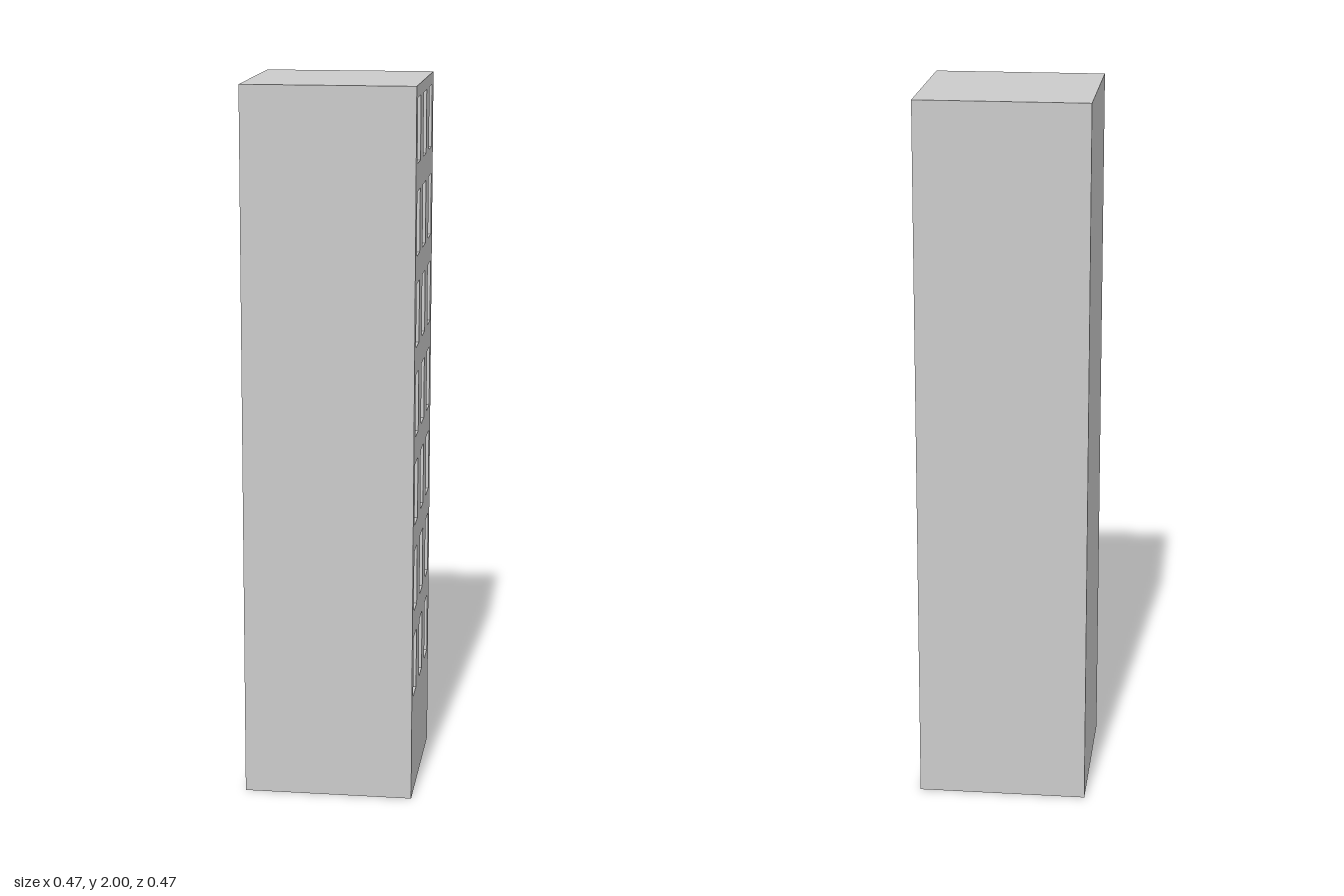
import * as THREE from 'three';

const H = 2, W = 0.474, HALF = W / 2;
const WIN_W = 0.08, WIN_H = 0.174, DEPTH = 0.03;
const COLUMNS = [-0.16, 0, 0.16];
const ROWS = Array.from({ length: 7 }, (_, i) => 0.38 + i * 0.25);

const wallMat = new THREE.MeshStandardMaterial({ color: 0xcccccc });
const paneMat = new THREE.MeshStandardMaterial({ color: 0x777777 });
const bluePaneMat = new THREE.MeshStandardMaterial({ color: 0x15237f });

function addMesh(parent, name, geometry, material, x, y, z) {
  const mesh = new THREE.Mesh(geometry, material);
  mesh.name = name;
  mesh.position.set(x, y, z);
  parent.add(mesh);
  return mesh;
}

// Box without its first `skip` faces (order +x, -x, +y, -y, +z, -z)
function openBox(w, h, d, skip, inward = false) {
  const geo = new THREE.BoxGeometry(w, h, d);
  const index = Array.from(geo.index.array).slice(skip * 6);
  geo.setIndex(inward ? index.reverse() : index);
  geo.clearGroups();
  geo.computeVertexNormals();
  return geo;
}

// Facade panel facing +x with a rectangular hole per window
function facadeGeometry() {
  const rect = (path, cx, y0, w, h) => path
    .moveTo(cx - w / 2, y0).lineTo(cx + w / 2, y0)
    .lineTo(cx + w / 2, y0 + h).lineTo(cx - w / 2, y0 + h).closePath();
  const shape = rect(new THREE.Shape(), 0, 0, W, H);
  for (const y of ROWS)
    for (const z of COLUMNS)
      shape.holes.push(rect(new THREE.Path(), -z, y - WIN_H / 2, WIN_W, WIN_H));
  return new THREE.ShapeGeometry(shape).rotateY(Math.PI / 2);
}

export function createModel() {
  const model = new THREE.Group();
  model.name = 'towerBlock';

  // Plain walls, roof and base
  addMesh(model, 'towerBody', openBox(W, H, W, 1), wallMat, 0, H / 2, 0);
  addMesh(model, 'windowFacade', facadeGeometry(), wallMat, HALF, 0, 0);

  // Recessed windows: reveal (sill, lintel, jambs) and pane
  const revealGeo = openBox(DEPTH, WIN_H, WIN_W, 2, true);
  const paneGeo = new THREE.PlaneGeometry(WIN_W, WIN_H).rotateY(Math.PI / 2);
  ROWS.forEach((y, row) => COLUMNS.forEach((z, col) => {
    const win = new THREE.Group();
    win.name = `window_${row + 1}_${col + 1}`;
    win.position.set(HALF, y, z);
    // One coloured pane, top floor at the front corner
    const blue = row === ROWS.length - 1 && col === COLUMNS.length - 1;
    addMesh(win, 'windowReveal', revealGeo, wallMat, -DEPTH / 2, 0, 0);
    addMesh(win, 'windowPane', paneGeo, blue ? bluePaneMat : paneMat, -DEPTH, 0, 0);
    model.add(win);
  }));

  return model;
}
